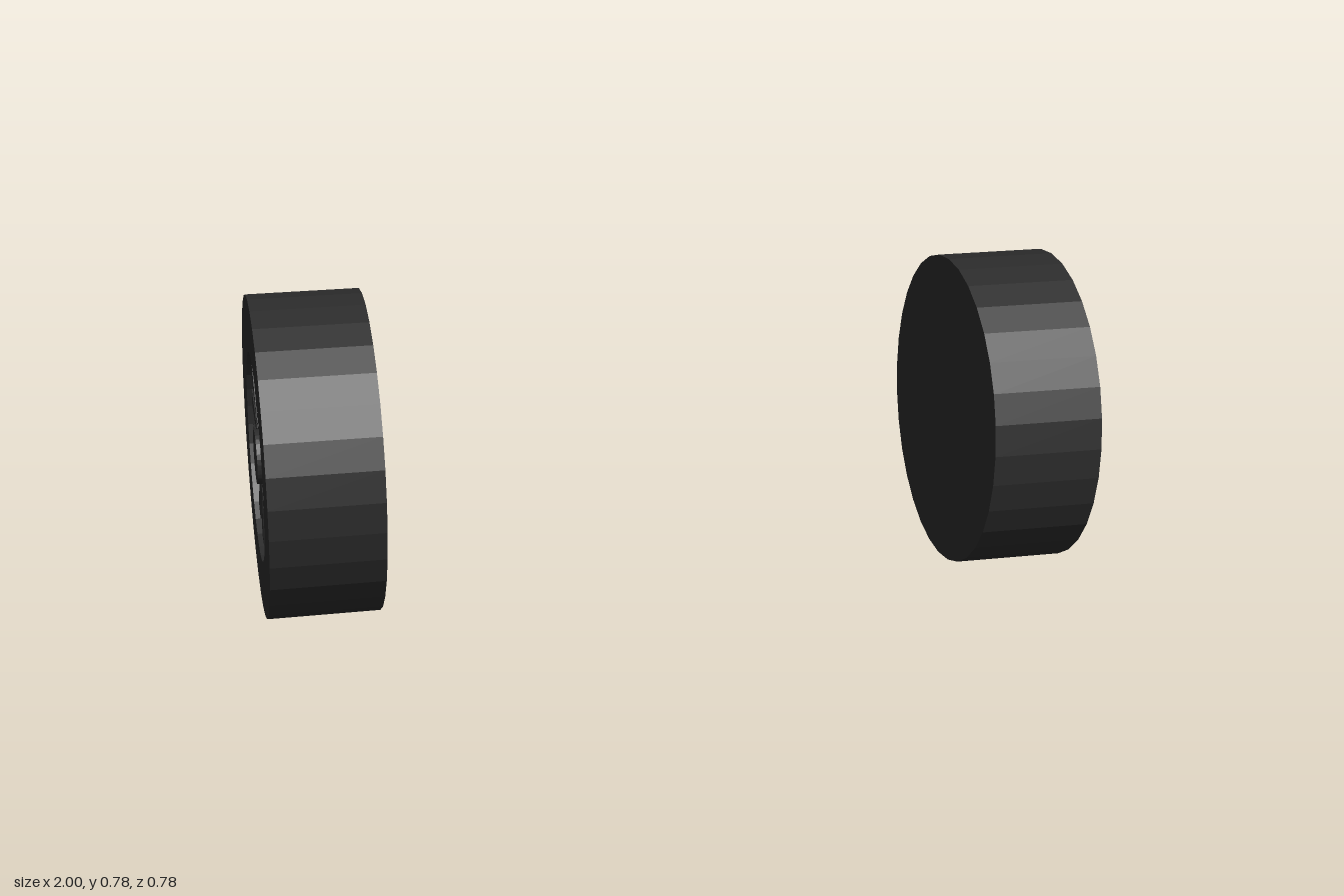
import * as THREE from 'three';

const R = 0.39, WIDTH = 0.27, RECESS = 0.253, HUB = 0.066, SIDES = 32;
const FLOOR = WIDTH - 0.05, SPOKE_TOP = WIDTH - 0.012;

const rubber = new THREE.MeshStandardMaterial({ color: 0x2b2b2b, flatShading: true });
rubber.name = 'dark rubber';

function part(name, geometry) {
  const mesh = new THREE.Mesh(geometry, rubber);
  mesh.name = name;
  return mesh;
}

// One wheel: the axle runs along +y and the spoked face looks towards +y
function makeWheel(name) {
  const wheel = new THREE.Group();
  wheel.name = name;

  // Tyre with a closed inner side and a round recess in the outer side
  const profile = [
    [0, 0], [R, 0], [R, WIDTH], [RECESS, WIDTH], [RECESS, FLOOR], [0, FLOOR],
  ].map(([r, y]) => new THREE.Vector2(r, y));
  wheel.add(part('tyre', new THREE.LatheGeometry(profile, SIDES)));

  // Hub cap
  const hub = new THREE.CylinderGeometry(HUB, HUB, WIDTH - FLOOR, SIDES);
  hub.translate(0, (WIDTH + FLOOR) / 2, 0);
  wheel.add(part('hub', hub));

  // Wedge spokes: every second sector of the recess is raised
  const step = (Math.PI * 2) / SIDES;
  for (let i = 0; i < SIDES; i += 2) {
    const a = i * step, b = a + step;
    const at = (r, t) => new THREE.Vector2(r * Math.cos(t), r * Math.sin(t));
    const sector = new THREE.Shape([at(HUB, a), at(RECESS, a), at(RECESS, b), at(HUB, b)]);
    const spoke = new THREE.ExtrudeGeometry(sector, { depth: SPOKE_TOP - FLOOR, bevelEnabled: false });
    spoke.rotateX(-Math.PI / 2);
    spoke.translate(0, FLOOR, 0);
    wheel.add(part('spoke', spoke));
  }
  return wheel;
}

export function createModel() {
  const model = new THREE.Group();
  model.name = 'wheelPair';
  for (const side of [1, -1]) {
    const wheel = makeWheel(side > 0 ? 'leftWheel' : 'rightWheel');
    wheel.rotation.z = -side * Math.PI / 2;
    wheel.position.set(side * (1 - WIDTH), R, 0);
    model.add(wheel);
  }
  return model;
}
